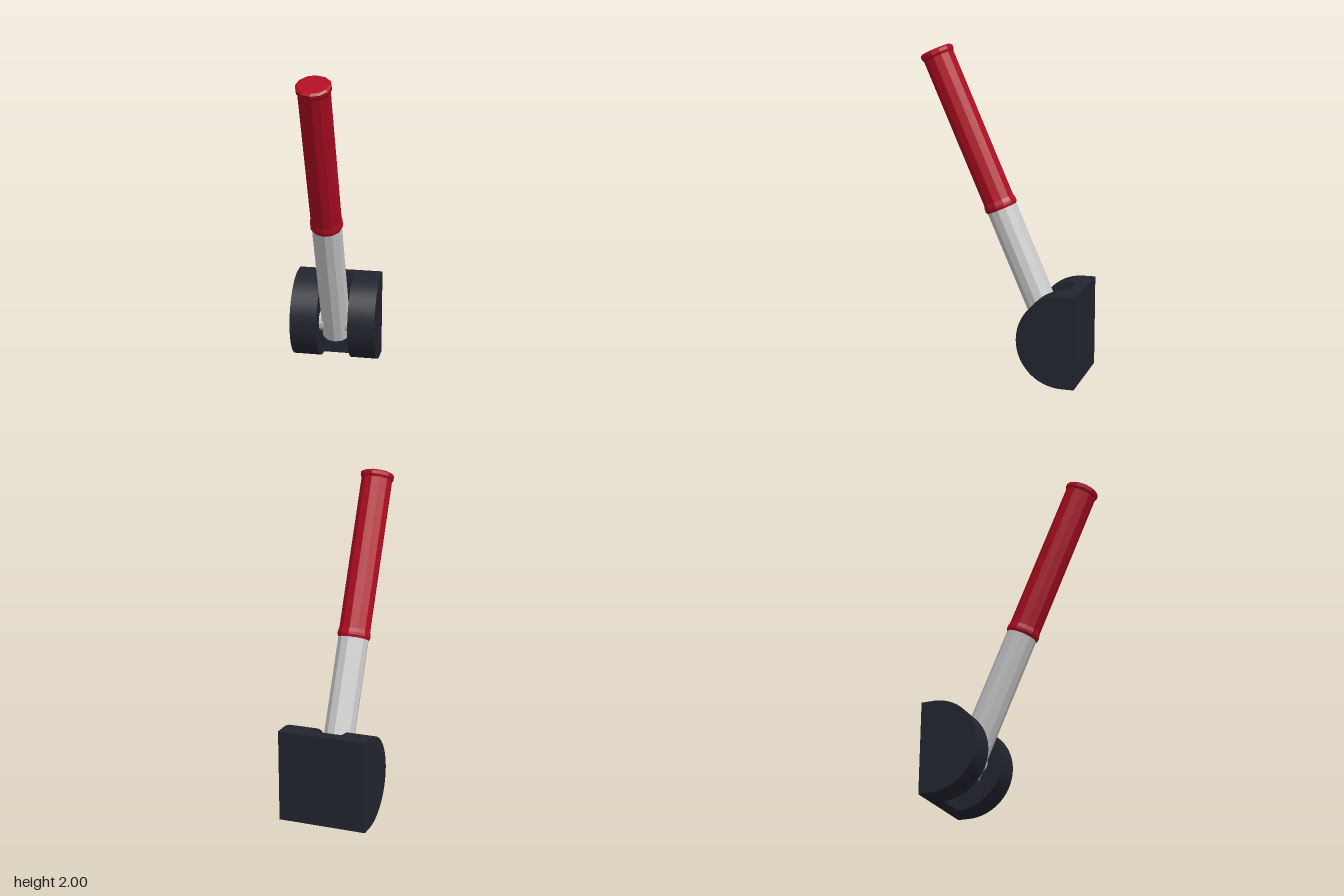
import * as THREE from 'three';

const metal = new THREE.MeshStandardMaterial({ color: 0xcccccc, flatShading: true });
const red = new THREE.MeshStandardMaterial({ color: 0xb00d22, flatShading: true });
const dark = new THREE.MeshStandardMaterial({ color: 0x22252e, flatShading: true });

function part(name, geometry, material, parent) {
  const mesh = new THREE.Mesh(geometry, material);
  mesh.name = name;
  parent.add(mesh);
  return mesh;
}

export function createModel() {
  const model = new THREE.Group();
  model.name = 'lever';

  // Base: two rounded cheeks joined by a back plate, leaving a slot between
  const base = new THREE.Group();
  base.name = 'base';
  model.add(base);
  const back = -0.515, arcZ = -0.44, r = 0.28, slot = 0.1, half = 0.273;
  const side = new THREE.Shape();
  side.moveTo(back, 0);
  side.lineTo(arcZ, 0);
  side.absarc(arcZ, r, r, -Math.PI / 2, Math.PI / 2, false);
  side.lineTo(back, 2 * r);
  side.closePath();
  for (const [name, x] of [['leftCheek', half], ['rightCheek', -slot]]) {
    const cheek = new THREE.ExtrudeGeometry(side, {
      depth: half - slot, bevelEnabled: false, curveSegments: 32,
    });
    cheek.rotateY(-Math.PI / 2); // profile runs along z, depth along -x
    part(name, cheek, dark, base).position.x = x;
  }
  part('backPlate', new THREE.BoxGeometry(2 * slot, 2 * r, arcZ - back), dark, base)
    .position.set(0, r, (arcZ + back) / 2);

  // Pivot pin across the slot
  const pin = new THREE.CylinderGeometry(0.063, 0.063, 2 * slot + 0.02, 12);
  pin.rotateZ(Math.PI / 2);
  part('pivotPin', pin, metal, model).position.set(0, 0.275, -0.313);

  // Leaning arm: metal shaft with a red grip flared at both ends
  const arm = new THREE.Group();
  arm.name = 'arm';
  arm.position.set(0, 0.185, -0.355);
  arm.rotation.x = 0.4127;
  model.add(arm);
  const shaft = new THREE.CylinderGeometry(0.094, 0.094, 0.95, 12);
  shaft.translate(0, 0.475, 0);
  part('shaft', shaft, metal, arm);

  const profile = [
    [0, 0.905], [0.096, 0.905], [0.102, 0.92], [0.102, 0.935], [0.096, 0.96],
    [0.096, 1.895], [0.104, 1.91], [0.104, 1.93], [0.09, 1.94], [0, 1.94],
  ].map(([x, y]) => new THREE.Vector2(x, y));
  part('grip', new THREE.LatheGeometry(profile, 12), red, arm);

  return model;
}
